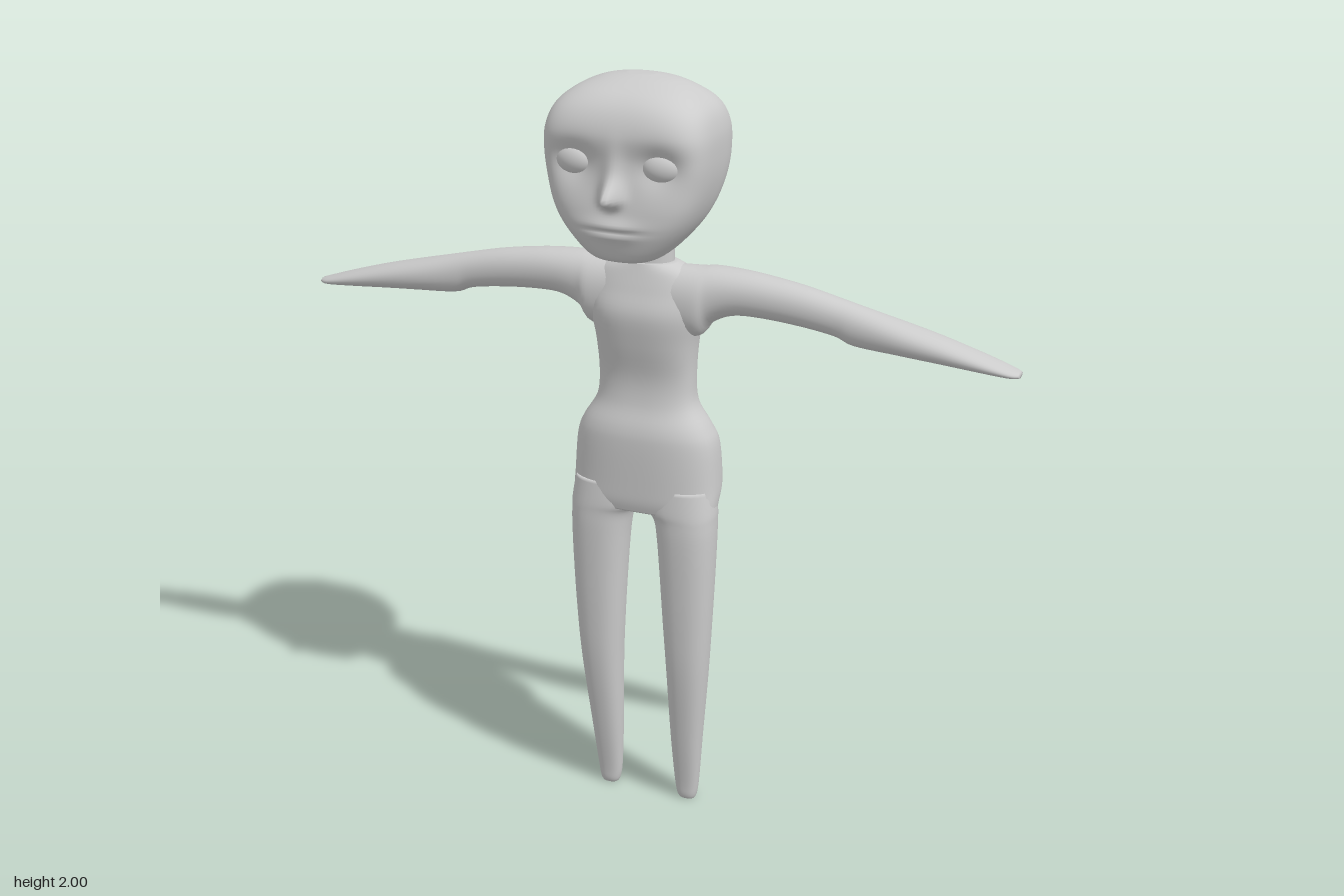
import * as THREE from 'three';

const material = new THREE.MeshStandardMaterial({ color: 0xcccccc, roughness: 0.8 });

// Uniform cubic through b and c
function spline(a, b, c, d, f) {
  return b + 0.5 * f * (c - a + f * (2 * a - 5 * b + 4 * c - d + f * (3 * (b - c) + d - a)));
}

// Smooth closed skin through rings [t, uMin, uMax, vMin, vMax, back power, front power].
// place(t, u, v) turns ring coordinates into a point.
function loft(name, rings, place, { sides = 32, steps = 5, flip = false } = {}) {
  const rows = [];
  const last = rings.length - 1;
  const ring = (i) => rings[Math.min(last, Math.max(0, i))];
  for (let i = 0; i < last; i++) {
    for (let k = 0; k < steps; k++) {
      rows.push(ring(i).map((_, j) =>
        spline(ring(i - 1)[j], ring(i)[j], ring(i + 1)[j], ring(i + 2)[j], k / steps)));
    }
  }
  rows.push(ring(last));
  const shrink = ([t, a, b, c, d, n, m]) => [t, (a + b) / 2, (a + b) / 2, (c + d) / 2, (c + d) / 2, n, m];
  rows.unshift(shrink(rows[0]));
  rows.push(shrink(rows[rows.length - 1]));

  const points = [];
  const index = [];
  rows.forEach(([t, u0, u1, v0, v1, back, front], r) => {
    for (let s = 0; s < sides; s++) {
      const angle = (s / sides) * Math.PI * 2;
      const c = Math.cos(angle), w = Math.sin(angle);
      const n = w > 0 ? front : back;
      const radius = (Math.abs(c) ** n + Math.abs(w) ** n) ** (-1 / n);
      points.push(...place(t, (u0 + u1) / 2 + (c * radius * (u1 - u0)) / 2,
        (v0 + v1) / 2 + (w * radius * (v1 - v0)) / 2));
      if (r === rows.length - 1) continue;
      const a = r * sides + s, b = r * sides + ((s + 1) % sides);
      const quad = [a, a + sides, b, b, a + sides, b + sides];
      index.push(...(flip ? quad.reverse() : quad));
    }
  });
  const geometry = new THREE.BufferGeometry();
  geometry.setAttribute('position', new THREE.Float32BufferAttribute(points, 3));
  geometry.setIndex(index);
  geometry.computeVertexNormals();
  const mesh = new THREE.Mesh(geometry, material);
  mesh.name = name;
  return mesh;
}

const bump = (d, size) => Math.exp(-((d / size) ** 2));

// Nose, eye sockets, lips and mouth crease pushed out of the face
function sculptFace(y, x, z) {
  if (z > 0.03) {
    const side = Math.abs(x);
    z += 0.058 * bump(x, 0.023) * bump(y - 1.735, y < 1.735 ? 0.018 : 0.038);
    z += 0.012 * bump(x, 0.025) * bump(y - 1.79, 0.06);
    z -= 0.022 * bump(side - 0.11, 0.055) * bump(y - 1.81, 0.045);
    z += 0.014 * bump(x, 0.06) * bump(y - 1.66, 0.024);
    z -= 0.014 * bump(x, 0.06) * bump(y - 1.655, 0.007);
  }
  return [x, y, z];
}

export function createModel() {
  const model = new THREE.Group();
  model.name = 'figure';

  // Head: [y, half width, back z, front z, back power, front power]
  const head = [
    [1.566, 0.05, -0.01, 0.11, 2, 2.5],
    [1.575, 0.085, -0.05, 0.135, 2.1, 2.7],
    [1.6, 0.118, -0.1, 0.15, 2.2, 3],
    [1.65, 0.16, -0.148, 0.162, 2.4, 3.4],
    [1.7, 0.186, -0.177, 0.16, 2.5, 4],
    [1.76, 0.203, -0.197, 0.152, 2.6, 4.5],
    [1.82, 0.21, -0.206, 0.15, 2.6, 5],
    [1.88, 0.208, -0.202, 0.153, 2.6, 4.5],
    [1.93, 0.19, -0.172, 0.135, 2.5, 3.8],
    [1.965, 0.15, -0.125, 0.1, 2.4, 3],
    [1.988, 0.095, -0.085, 0.045, 2.2, 2.4],
    [1.998, 0.035, -0.045, 0, 2, 2],
  ].map(([y, w, ...rest]) => [y, -w, w, ...rest]);
  model.add(loft('head', head, sculptFace, { sides: 144, steps: 8 }));

  // Neck
  const neck = new THREE.Mesh(new THREE.CylinderGeometry(1, 1, 0.14, 32), material);
  neck.name = 'neck';
  neck.scale.set(0.071, 1, 0.05);
  neck.position.set(0, 1.56, -0.06);
  model.add(neck);

  // Torso and hips
  const torso = [
    [0.872, 0.193, -0.115, 0.02, 2.6, 2.6],
    [0.9, 0.195, -0.135, 0.026, 2.8, 2.7],
    [0.945, 0.195, -0.168, 0.028, 2.8, 2.7],
    [1.05, 0.187, -0.172, 0.03, 2.6, 2.6],
    [1.1, 0.168, -0.158, 0.025, 2.5, 2.6],
    [1.16, 0.133, -0.14, 0.006, 2.5, 2.6],
    [1.23, 0.127, -0.137, 0.002, 2.5, 2.6],
    [1.32, 0.132, -0.148, 0.02, 2.5, 2.6],
    [1.4, 0.146, -0.156, 0.03, 2.5, 2.6],
    [1.46, 0.15, -0.14, 0.014, 2.4, 2.4],
    [1.505, 0.125, -0.122, 0, 2.3, 2.3],
    [1.53, 0.075, -0.112, -0.008, 2, 2],
  ].map(([y, w, ...rest]) => [y, -w, w, ...rest]);
  model.add(loft('torso', torso, (y, x, z) => [x, y, z], { sides: 48 }));

  // Arm: [x, back z, front z, bottom y, top y]
  const arm = [
    [0.06, -0.125, 0.005, 1.35, 1.522],
    [0.14, -0.138, 0.005, 1.345, 1.523],
    [0.175, -0.138, -0.006, 1.383, 1.525],
    [0.23, -0.134, -0.014, 1.407, 1.523],
    [0.3, -0.128, -0.02, 1.41, 1.517],
    [0.4, -0.123, -0.026, 1.402, 1.502],
    [0.49, -0.12, -0.03, 1.388, 1.482],
    [0.54, -0.122, -0.028, 1.37, 1.47],
    [0.65, -0.127, -0.025, 1.362, 1.443],
    [0.75, -0.126, -0.029, 1.355, 1.417],
    [0.85, -0.12, -0.037, 1.347, 1.387],
    [0.92, -0.111, -0.048, 1.342, 1.364],
    [0.945, -0.097, -0.062, 1.343, 1.356],
  ].map((ring) => [...ring, 2.2, 2.2]);

  // Leg: [y, inner x, outer x, back z, front z]
  const leg = [
    [0, 0.092, 0.136, -0.1, -0.062],
    [0.015, 0.086, 0.141, -0.101, -0.056],
    [0.06, 0.08, 0.147, -0.102, -0.05],
    [0.2, 0.073, 0.159, -0.102, -0.027],
    [0.4, 0.067, 0.177, -0.101, 0.002],
    [0.55, 0.059, 0.187, -0.1, 0.014],
    [0.7, 0.05, 0.194, -0.105, 0.022],
    [0.8, 0.042, 0.197, -0.11, 0.026],
    [0.85, 0.032, 0.197, -0.115, 0.026],
    [0.88, 0.008, 0.196, -0.12, 0.026],
    [0.94, 0.002, 0.188, -0.13, 0.02],
  ].map((ring) => [...ring, 2.4, 2.4]);

  for (const [side, s] of [['left', 1], ['right', -1]]) {
    const flip = s < 0;
    model.add(loft(side + 'Arm', arm, (x, z, y) => [s * x, y, z], { flip }));
    model.add(loft(side + 'Leg', leg, (y, x, z) => [s * x, y, z], { flip }));

    // Eyeball
    const eye = new THREE.Mesh(new THREE.SphereGeometry(1, 32, 20), material);
    eye.name = side + 'Eye';
    eye.scale.set(0.051, 0.037, 0.03);
    eye.position.set(s * 0.113, 1.81, 0.117);
    eye.rotation.y = s * 0.15;
    model.add(eye);
  }
  return model;
}
